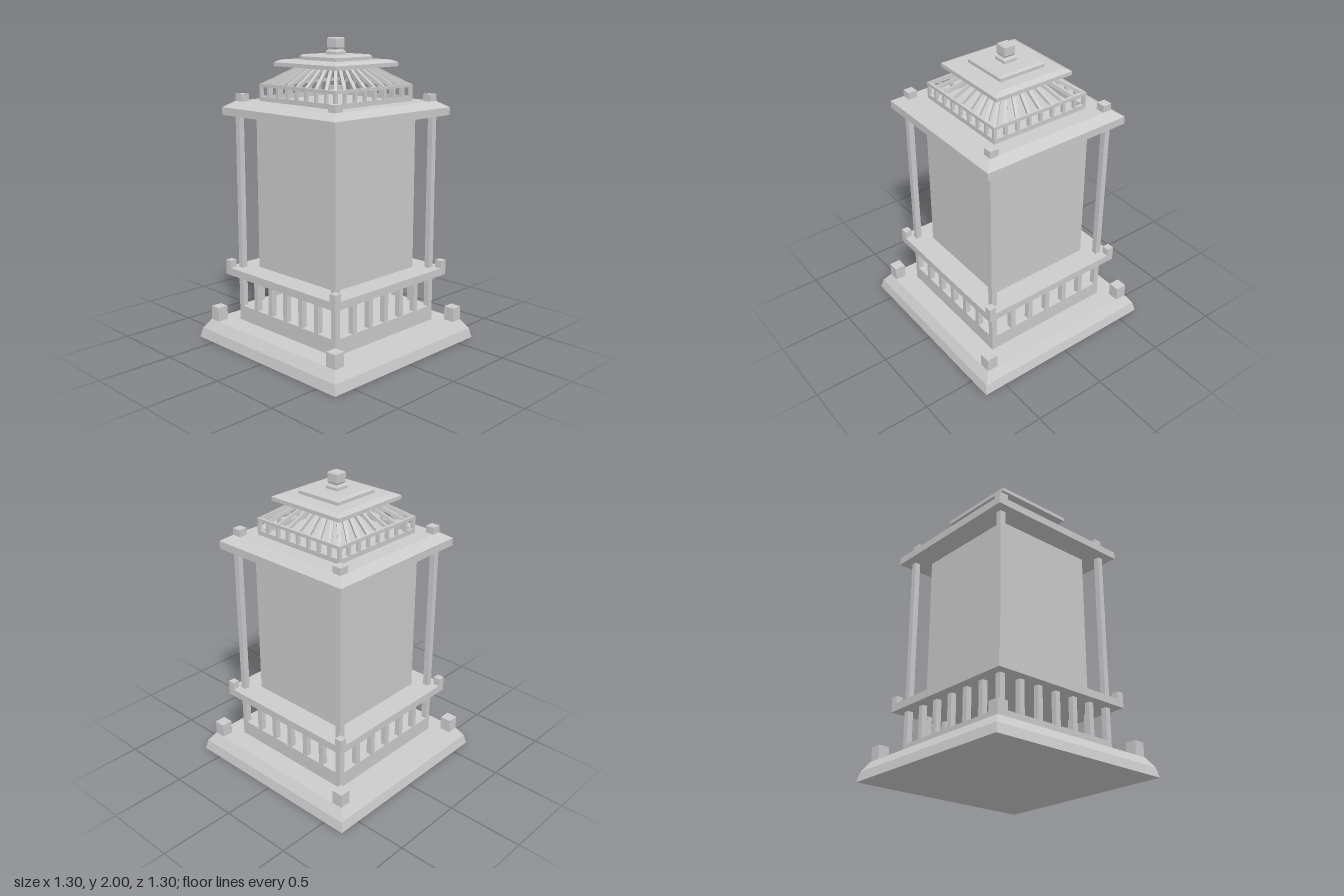
import * as THREE from 'three';

const material = new THREE.MeshStandardMaterial({ color: 0xcccccc, flatShading: true });

export function createModel() {
  const model = new THREE.Group();
  model.name = 'squareLanternTower';

  const add = (name, geometry, parent = model) => {
    const mesh = new THREE.Mesh(geometry, material);
    mesh.name = name;
    parent.add(mesh);
    return mesh;
  };

  // Square tier from [halfWidth, y] steps, bottom to top, closed at both ends
  const tier = (name, steps) => {
    const closed = [[0, steps[0][1]], ...steps, [0, steps[steps.length - 1][1]]];
    const points = closed.map(([h, y]) => new THREE.Vector2(h * Math.SQRT2, y));
    const geometry = new THREE.LatheGeometry(points, 4, Math.PI / 4).toNonIndexed();
    geometry.computeVertexNormals();
    return add(name, geometry);
  };

  // Upright box between two heights
  const post = (name, x, z, width, y0, y1, parent) =>
    add(name, new THREE.BoxGeometry(width, y1 - y0, width), parent).position.set(x, (y0 + y1) / 2, z);

  const corners = (name, offset, width, y0, y1) => {
    for (const x of [-offset, offset])
      for (const z of [-offset, offset]) post(name, x, z, width, y0, y1);
  };

  // Square bar running from one point to another
  const bar = (name, from, to, width, parent) => {
    const a = new THREE.Vector3(...from), b = new THREE.Vector3(...to);
    const mesh = add(name, new THREE.BoxGeometry(width, width, a.distanceTo(b)), parent);
    mesh.position.copy(a).add(b).multiplyScalar(0.5);
    mesh.lookAt(b);
  };

  // Base and open lower storey
  tier('base', [[0.65, 0], [0.635, 0.065], [0.593, 0.127]]);
  corners('baseCornerBlock', 0.553, 0.075, 0.127, 0.22);
  tier('plinth', [[0.455, 0.127], [0.455, 0.23]]);
  tier('deck', [[0.515, 0.445], [0.515, 0.495]]);
  corners('lowerCornerPost', 0.436, 0.038, 0.23, 0.445);
  corners('deckCornerBlock', 0.491, 0.048, 0.495, 0.545);

  // Main storey
  tier('body', [[0.36, 0.495], [0.36, 1.51]]);
  corners('tallCornerPost', 0.436, 0.038, 0.495, 1.51);
  tier('roof', [[0.515, 1.51], [0.515, 1.56], [0.453, 1.6]]);
  corners('roofCornerBlock', 0.423, 0.06, 1.6, 1.645);

  // Balusters and the cage of bars below the cap, repeated on four sides
  for (let i = 0; i < 4; i++) {
    const side = new THREE.Group();
    side.name = 'side';
    for (let k = -2; k <= 2; k++) post('baluster', k * 0.143, 0.436, 0.036, 0.23, 0.445, side);

    const lower = add('cageLowerRail', new THREE.BoxGeometry(0.69, 0.03, 0.02), side);
    lower.position.set(0, 1.615, 0.335);
    const upper = add('cageUpperRail', new THREE.BoxGeometry(0.69, 0.02, 0.02), side);
    upper.position.set(0, 1.7, 0.335);
    for (let k = -3; k <= 3; k++) {
      const x = k * 0.086;
      post('cageUpright', x, 0.335, 0.02, 1.6, 1.71, side);
      bar('cageRafter', [x, 1.7, 0.335], [x * 0.45, 1.825, 0.15], 0.02, side);
    }
    post('cageCornerUpright', 0.335, 0.335, 0.02, 1.6, 1.71, side);
    bar('cageHipRafter', [0.335, 1.7, 0.335], [0.15, 1.825, 0.15], 0.02, side);
    side.rotation.y = i * Math.PI / 2;
    model.add(side);
  }

  // Stepped cap and finial
  tier('cap', [[0.28, 1.82], [0.28, 1.845], [0.245, 1.862]]);
  tier('capStep', [[0.163, 1.862], [0.163, 1.883], [0.148, 1.895]]);
  tier('finialFoot', [[0.046, 1.895], [0.046, 1.912], [0.034, 1.925], [0.034, 1.935]]);
  tier('finial', [[0.034, 1.93], [0.039, 1.938], [0.039, 1.992], [0.034, 2]]);

  return model;
}
